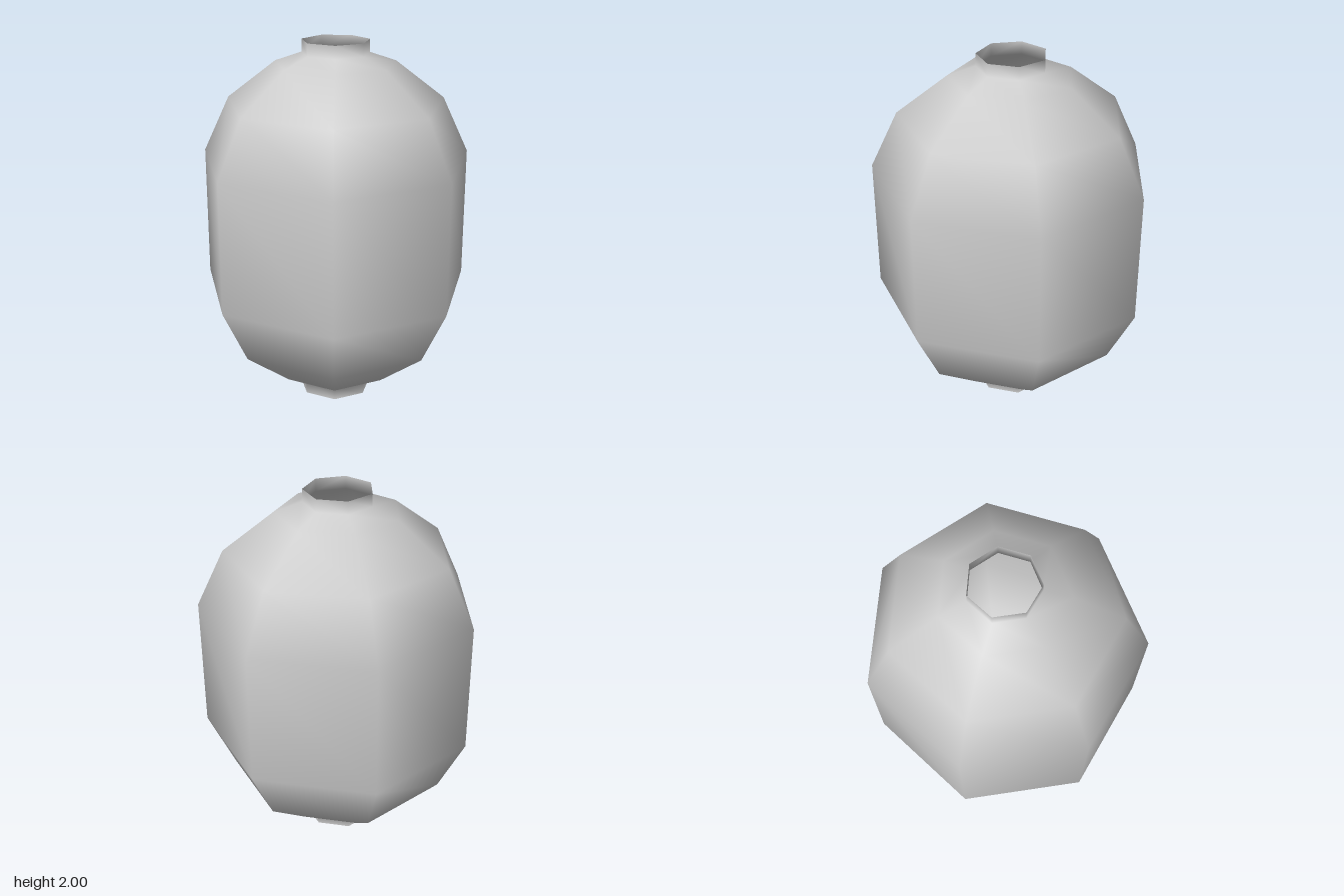
import * as THREE from 'three';
import { mergeVertices } from 'three/addons/utils/BufferGeometryUtils.js';

const SIDES = 7;

// Seven-sided shell swept around y, with one corner pointing to -x and shared smooth normals
function smoothLathe(profile) {
  const points = profile.map(([r, y]) => new THREE.Vector2(r, y));
  const lathe = new THREE.LatheGeometry(points, SIDES, -Math.PI / 2);
  lathe.deleteAttribute('uv');
  lathe.deleteAttribute('normal');
  const geometry = mergeVertices(lathe, 1e-4);
  geometry.computeVertexNormals();
  return geometry;
}

export function createModel() {
  const model = new THREE.Group();
  model.name = 'lantern';

  const shell = new THREE.MeshStandardMaterial({ color: 0xcccccc, side: THREE.DoubleSide });
  shell.name = 'lightGrey';

  // Open lower collar, rounded belly and open upper collar in one continuous skin
  const body = new THREE.Mesh(smoothLathe([
    [0.205, 0], [0.205, 0.078],
    [0.33, 0.125], [0.6, 0.338], [0.747, 0.642],
    [0.747, 1.362], [0.6, 1.67], [0.33, 1.88],
    [0.184, 1.932], [0.184, 2],
  ]), shell);
  body.name = 'lanternShell';
  body.position.x = 0.037; // an odd number of sides puts the axis off the middle
  model.add(body);

  return model;
}
